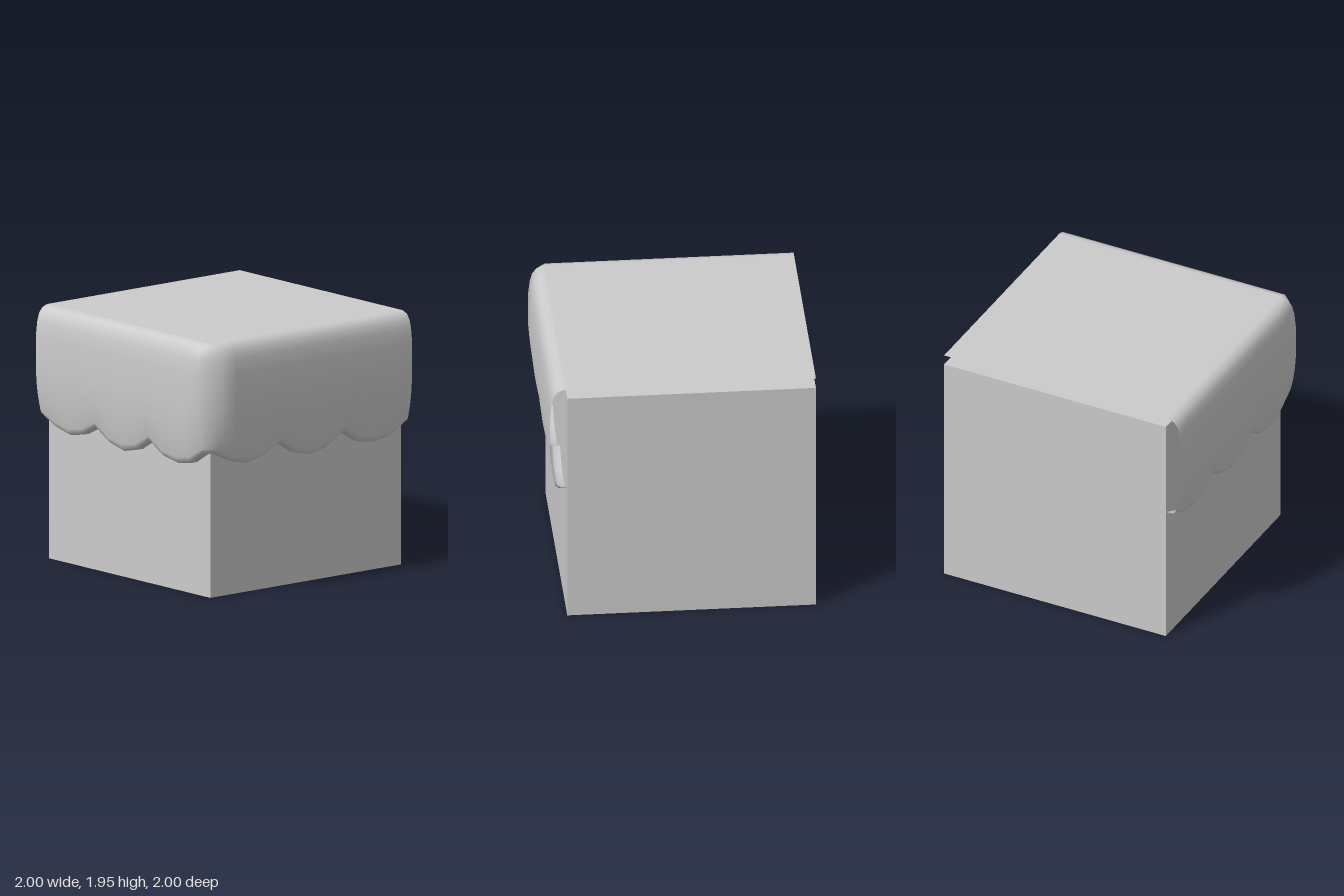
import * as THREE from 'three';
import { mergeVertices } from 'three/addons/utils/BufferGeometryUtils.js';

const EDGE = 0.87; // block side plane
const TOP = 1.95;  // height of the cap
const STEP = (EDGE + 1) / 12;

// Rounded shoulder: [distance out from block, height]
const SHOULDER = [[0, TOP], [0.03, 1.947], [0.07, 1.93], [0.1, 1.89], [0.117, 1.83], [0.13, 1.72], [0.13, 1.46]];
// Tapering skirt and lip: [distance out, share of the drop to the hem]
const SKIRT = [[0.12, 0.36], [0.105, 0.64], [0.085, 0.89], [0.075, 0.96], [0.05, 1], [0, 1]];
// Hem heights of three scallops, repeated on both sides
const HEM = [1.11, 1.035, 1.0, 1.03, 1.11, 1.015, 0.98, 1.015, 1.11, 1.015, 0.99, 1.015, 1.11];

function profile(hem) {
  return [...SHOULDER, ...SKIRT.map(([out, t]) => [out, 1.46 + (hem - 1.46) * t])];
}

function capGeometry() {
  // Columns run along the front, round the corner and back along the side
  const columns = [];
  HEM.forEach((hem, i) => columns.push(
    profile(hem).map(([out, y]) => [-1 + i * STEP, y, EDGE + out])));
  HEM.forEach((hem, i) => columns.push(
    profile(hem).map(([out, y]) => [EDGE + out, y, EDGE - i * STEP])));

  const rows = columns[0].length;
  const points = [[-1, TOP, -1], ...columns.flat()];
  const id = (c, r) => 1 + c * rows + r;
  const index = [];
  for (let c = 0; c < columns.length - 1; c++) {
    const corner = c === HEM.length - 1;
    // flat top, fanned from the far corner
    if (!corner) index.push(0, id(c, 0), id(c + 1, 0));
    for (let r = 0; r < rows - 1; r++) {
      const a = id(c, r), b = id(c + 1, r), d = id(c, r + 1), e = id(c + 1, r + 1);
      if (!(corner && r === 0)) index.push(a, d, b);
      if (!(corner && r === rows - 2)) index.push(b, d, e);
    }
  }
  const geometry = new THREE.BufferGeometry();
  geometry.setAttribute('position', new THREE.Float32BufferAttribute(points.flat(), 3));
  geometry.setIndex(index);
  const merged = mergeVertices(geometry, 1e-4);
  merged.computeVertexNormals();
  return merged;
}

export function createModel() {
  const group = new THREE.Group();

  // Plain cube underneath
  const size = EDGE + 1;
  const block = new THREE.Mesh(
    new THREE.BoxGeometry(size, size, size),
    new THREE.MeshStandardMaterial({ color: 0xcccccc }));
  block.name = 'block';
  block.position.set((EDGE - 1) / 2, size / 2, (EDGE - 1) / 2);
  group.add(block);

  // Thin draped cap, open on the back and far side
  const cap = new THREE.Mesh(
    capGeometry(),
    new THREE.MeshStandardMaterial({ color: 0xcccccc, side: THREE.DoubleSide }));
  cap.name = 'scallopedCap';
  group.add(cap);

  return group;
}
